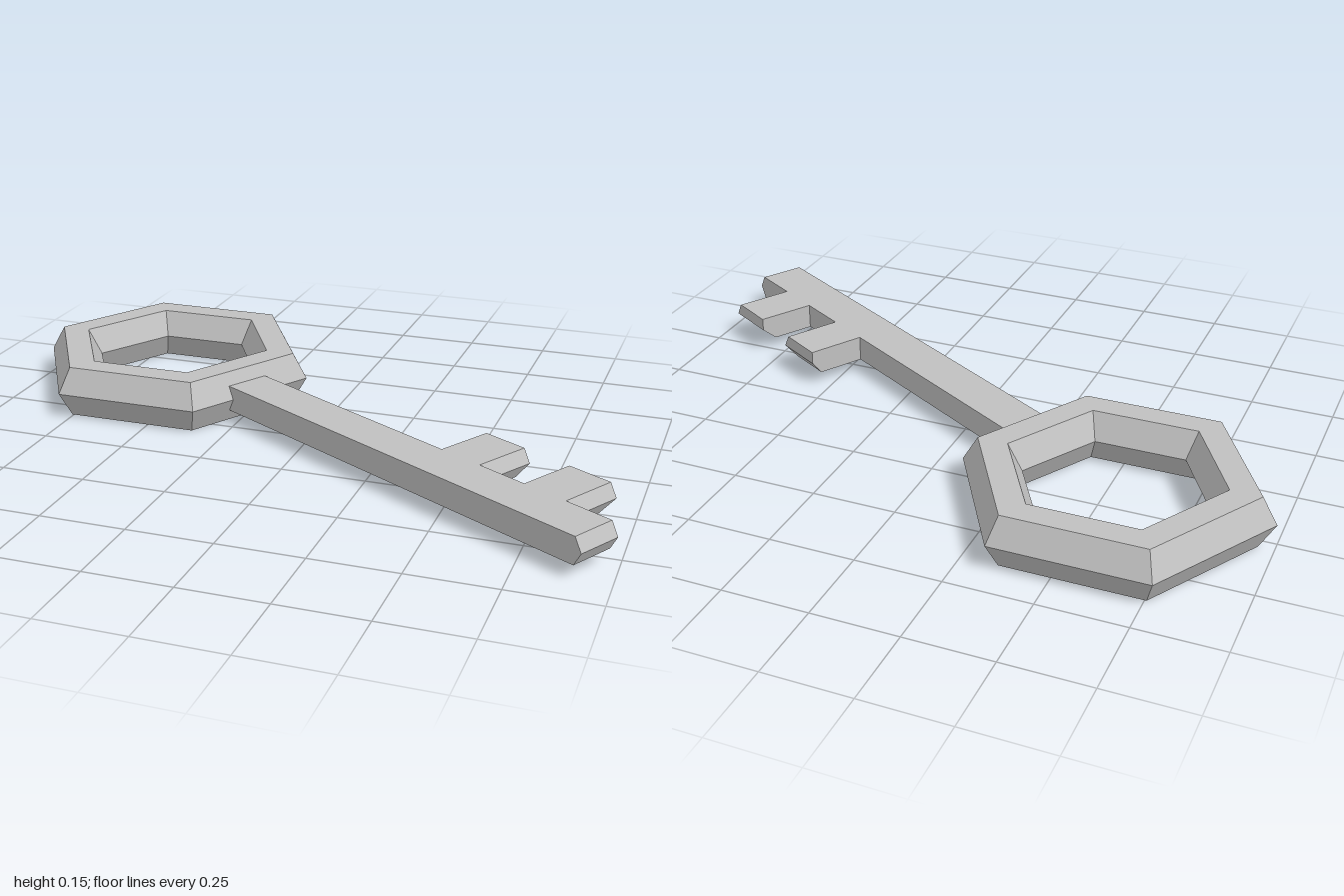
import * as THREE from 'three';

// Outline of the shaft and its two teeth, seen along the thickness.
// bevel: how far the end-facing sides are pulled in; cuts: how far each tooth tip is pulled back.
function outline(bevel, cuts) {
  const w = 0.07, tip = 0.248;
  const pts = [[0.24 + bevel, -w], [1.743 - bevel, -w], [1.743 - bevel, w]];
  const teeth = [[1.432, 1.595, cuts[1]], [1.131, 1.295, cuts[0]]];
  for (const [a, b, cut] of teeth) {
    pts.push([b - bevel, w], [b - bevel, tip - cut], [a, tip - cut], [a, w]);
  }
  pts.push([0.24 + bevel, w]);
  return pts.map(([x, y]) => new THREE.Vector2(x, y));
}

// Joins layered outlines into a closed solid
function loft(layers) {
  const n = layers[0].pts.length;
  const pos = [], index = [];
  layers.forEach(({ pts, z }) => pts.forEach((p) => pos.push(p.x, p.y, z)));
  for (let l = 0; l < layers.length - 1; l++) {
    for (let i = 0; i < n; i++) {
      const j = (i + 1) % n;
      const a = l * n + i, b = l * n + j;
      index.push(a, b, b + n, a, b + n, a + n);
    }
  }
  const top = (layers.length - 1) * n;
  for (const [a, b, c] of THREE.ShapeUtils.triangulateShape(layers[0].pts, [])) {
    index.push(c, b, a);
  }
  for (const [a, b, c] of THREE.ShapeUtils.triangulateShape(layers[layers.length - 1].pts, [])) {
    index.push(top + a, top + b, top + c);
  }
  const g = new THREE.BufferGeometry();
  g.setAttribute('position', new THREE.Float32BufferAttribute(pos, 3));
  g.setIndex(index);
  const flat = g.toNonIndexed();
  flat.computeVertexNormals();
  return flat;
}

export function createModel() {
  const group = new THREE.Group();
  group.name = 'key';
  const metal = new THREE.MeshStandardMaterial({ color: 0xc0c0c0, flatShading: true });
  metal.name = 'grey metal';

  const add = (name, geometry) => {
    // Lay flat, then turn the shaft toward the front left
    geometry.rotateX(-Math.PI / 2).rotateY(-Math.PI / 6);
    const mesh = new THREE.Mesh(geometry, metal);
    mesh.name = name;
    mesh.position.set(-0.555, 0.078, -0.28);
    group.add(mesh);
  };

  // Hexagonal ring with a hexagonal section
  add('bow', new THREE.TorusGeometry(0.356, 0.089, 6, 6).rotateZ(Math.PI / 6));

  // Shaft and teeth, ridged at mid thickness
  const h = 0.039;
  add('shaftAndTeeth', loft([
    { pts: outline(0.022, [0.03, 0.045]), z: -h },
    { pts: outline(0, [0, 0]), z: 0 },
    { pts: outline(0.022, [0, 0]), z: h },
  ]));

  return group;
}
